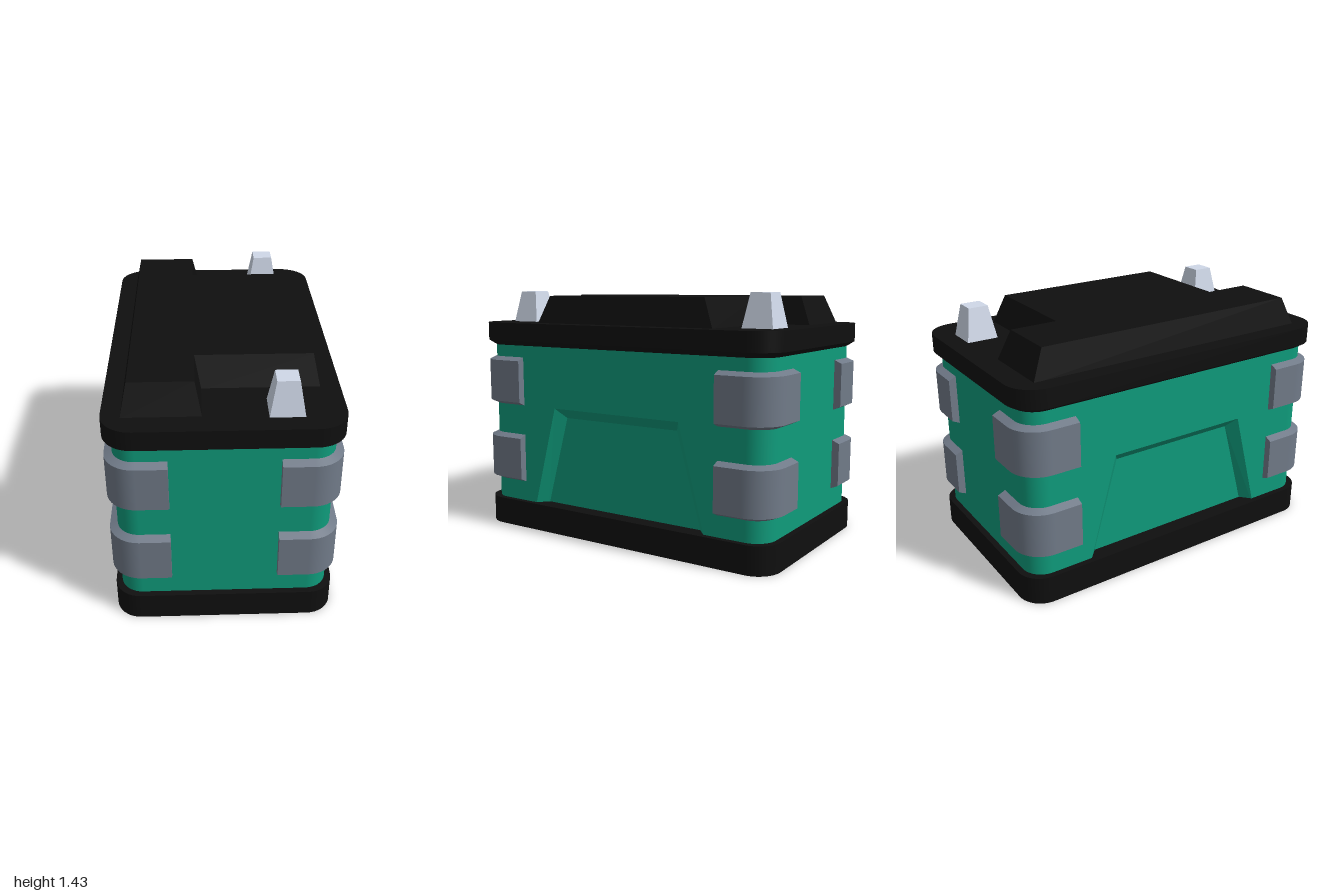
import * as THREE from 'three';

const mat = (color, extra = {}) => Object.assign(new THREE.MeshStandardMaterial({ color }), extra);
const black = mat(0x0f0f0f), teal = mat(0x0f9b7b), grey = mat(0x707a88);
const metal = mat(0xcfd8e8, { flatShading: true });

function mesh(name, geometry, material) {
  const m = new THREE.Mesh(geometry, material);
  m.name = name;
  return m;
}

function buffer(pos, nor) {
  const g = new THREE.BufferGeometry();
  g.setAttribute('position', new THREE.Float32BufferAttribute(pos, 3));
  if (nor) g.setAttribute('normal', new THREE.Float32BufferAttribute(nor, 3));
  else g.computeVertexNormals();
  return g;
}

// Rounded corner k (0 = +x+z, then on towards -z): points with outward normals
function corner(k, hx, hz, r, straight = 0, steps = 10) {
  const cx = (k < 2 ? 1 : -1) * (hx - r), cz = (k === 0 || k === 3 ? 1 : -1) * (hz - r);
  const pts = [];
  for (let i = 0; i <= steps; i++) {
    const t = (k + i / steps) * Math.PI / 2, nx = Math.sin(t), nz = Math.cos(t);
    pts.push({ x: cx + r * nx, z: cz + r * nz, nx, nz });
  }
  if (straight) {
    const slide = (p, d) => ({ ...p, x: p.x + p.nz * d, z: p.z - p.nx * d });
    pts.unshift(slide(pts[0], -straight));
    pts.push(slide(pts[pts.length - 1], straight));
  }
  return pts;
}

const loop = (hx, hz, r) => [0, 1, 2, 3].flatMap(k => corner(k, hx, hz, r));

// Sweep a profile of [outward offset, height] along a path.
// caps: 'loop' closes the ring with lids, 'ends' closes both path ends
function sweep(path, profile, caps) {
  const pos = [], nor = [];
  const at = (p, [o, y]) => [p.x + p.nx * o, y, p.z + p.nz * o];
  const tri = (pts, ns) => { pos.push(...pts.flat()); nor.push(...ns.flat()); };
  const fan = (pts, n) => {
    for (let i = 1; i < pts.length - 1; i++) tri([pts[0], pts[i], pts[i + 1]], [n, n, n]);
  };
  const count = caps === 'loop' ? path.length : path.length - 1;
  for (let j = 0; j < profile.length - 1; j++) {
    const q = profile[j], s = profile[j + 1];
    const len = Math.hypot(s[0] - q[0], s[1] - q[1]);
    const out = (s[1] - q[1]) / len, up = (q[0] - s[0]) / len;
    const normal = p => [p.nx * out, up, p.nz * out];
    for (let i = 0; i < count; i++) {
      const a = path[i], b = path[(i + 1) % path.length];
      const na = normal(a), nb = normal(b);
      tri([at(a, q), at(b, q), at(b, s)], [na, nb, nb]);
      tri([at(a, q), at(b, s), at(a, s)], [na, nb, na]);
    }
  }
  if (caps === 'loop') {
    fan(path.map(p => at(p, profile[profile.length - 1])), [0, 1, 0]);
    fan(path.map(p => at(p, profile[0])).reverse(), [0, -1, 0]);
  }
  if (caps === 'ends') {
    const a = path[0], b = path[path.length - 1];
    fan(profile.map(q => at(a, q)), [-a.nz, 0, a.nx]);
    fan(profile.map(q => at(b, q)).reverse(), [b.nz, 0, -b.nx]);
  }
  return buffer(pos, nor);
}

// Flat quads joining two outlines with matching corners
function loft(a, b, closed) {
  const pos = [];
  for (let i = 0; i < a.length - (closed ? 0 : 1); i++) {
    const j = (i + 1) % a.length;
    pos.push(...a[i], ...a[j], ...b[j], ...a[i], ...b[j], ...b[i]);
  }
  return buffer(pos);
}

const flat = pts => new THREE.ShapeGeometry(new THREE.Shape(pts.map(p => new THREE.Vector2(p[0], p[1]))));

// Long side wall with a bevelled trapezoid recess, facing +z locally
function sidePanel() {
  const g = new THREE.Group();
  g.name = 'sideWall';
  const face = 0.57, deep = 0.51;
  const outer = [[-0.606, 0.1], [-0.43, 0.75], [0.43, 0.75], [0.606, 0.1]];
  const inner = [[-0.552, 0.1], [-0.385, 0.69], [0.385, 0.69], [0.552, 0.1]];
  const wall = flat([[-0.835, 0.1], ...outer, [0.835, 0.1], [0.835, 1.13], [-0.835, 1.13]]);
  g.add(mesh('wallFace', wall.translate(0, 0, face), teal));
  g.add(mesh('recessFloor', flat(inner).translate(0, 0, deep), teal));
  g.add(mesh('recessBevel', loft(inner.map(p => [...p, deep]), outer.map(p => [...p, face])), teal));
  return g;
}

export function createModel() {
  const model = new THREE.Group();
  model.name = 'battery';

  // Base tray and lid
  model.add(mesh('base', sweep(loop(0.603, 0.99, 0.14), [[0, 0], [0, 0.16]], 'loop'), black));
  model.add(mesh('lid', sweep(loop(0.57, 0.955, 0.12),
    [[0, 1.11], [0.045, 1.138], [0.045, 1.245]], 'loop'), black));

  // Case: two rounded end walls and two recessed side walls
  [['frontWall', 3, 0], ['backWall', 1, 2]].forEach(([name, k, m]) => {
    const path = [...corner(k, 0.57, 0.955, 0.12), ...corner(m, 0.57, 0.955, 0.12)];
    model.add(mesh(name, sweep(path, [[0, 0.1], [0, 1.13]]), teal));
  });
  for (const s of [1, -1]) {
    const panel = sidePanel();
    panel.rotation.y = s * Math.PI / 2;
    model.add(panel);
  }

  // Corner bumpers, two per corner
  for (let k = 0; k < 4; k++) {
    for (const y of [0.28, 0.75]) {
      const profile = [[0, y], [0.043, y + 0.02], [0.043, y + 0.27], [0, y + 0.29]];
      model.add(mesh('cornerBumper', sweep(corner(k, 0.57, 0.955, 0.12, 0.165), profile, 'ends'), grey));
    }
  }

  // Raised cover, notched around the terminals
  const outline = (x0, x1, x2, z0, z1, y) => [
    [x0, z0], [x1, z0], [x1, z1], [x2, z1], [x2, -z1], [x1, -z1], [x1, -z0], [x0, -z0],
  ].map(([x, z]) => [x, y, z]);
  const low = outline(-0.515, -0.11, 0.51, 0.87, 0.6, 1.24);
  const high = outline(-0.48, -0.145, 0.475, 0.8, 0.53, 1.405);
  const cover = new THREE.Group();
  cover.name = 'raisedCover';
  cover.add(mesh('coverSides', loft(low, high, true), black));
  const top = flat(high.map(p => [p[0], -p[2]])).rotateX(-Math.PI / 2).translate(0, 1.405, 0);
  cover.add(mesh('coverTop', top, black));
  model.add(cover);

  // Tapered square terminals
  for (const s of [1, -1]) {
    const post = new THREE.CylinderGeometry(0.057 * Math.SQRT2, 0.09 * Math.SQRT2, 0.185, 4);
    const terminal = mesh('terminal', post.rotateY(Math.PI / 4), metal);
    terminal.position.set(0.31, 1.3375, s * 0.8);
    model.add(terminal);
  }
  return model;
}
